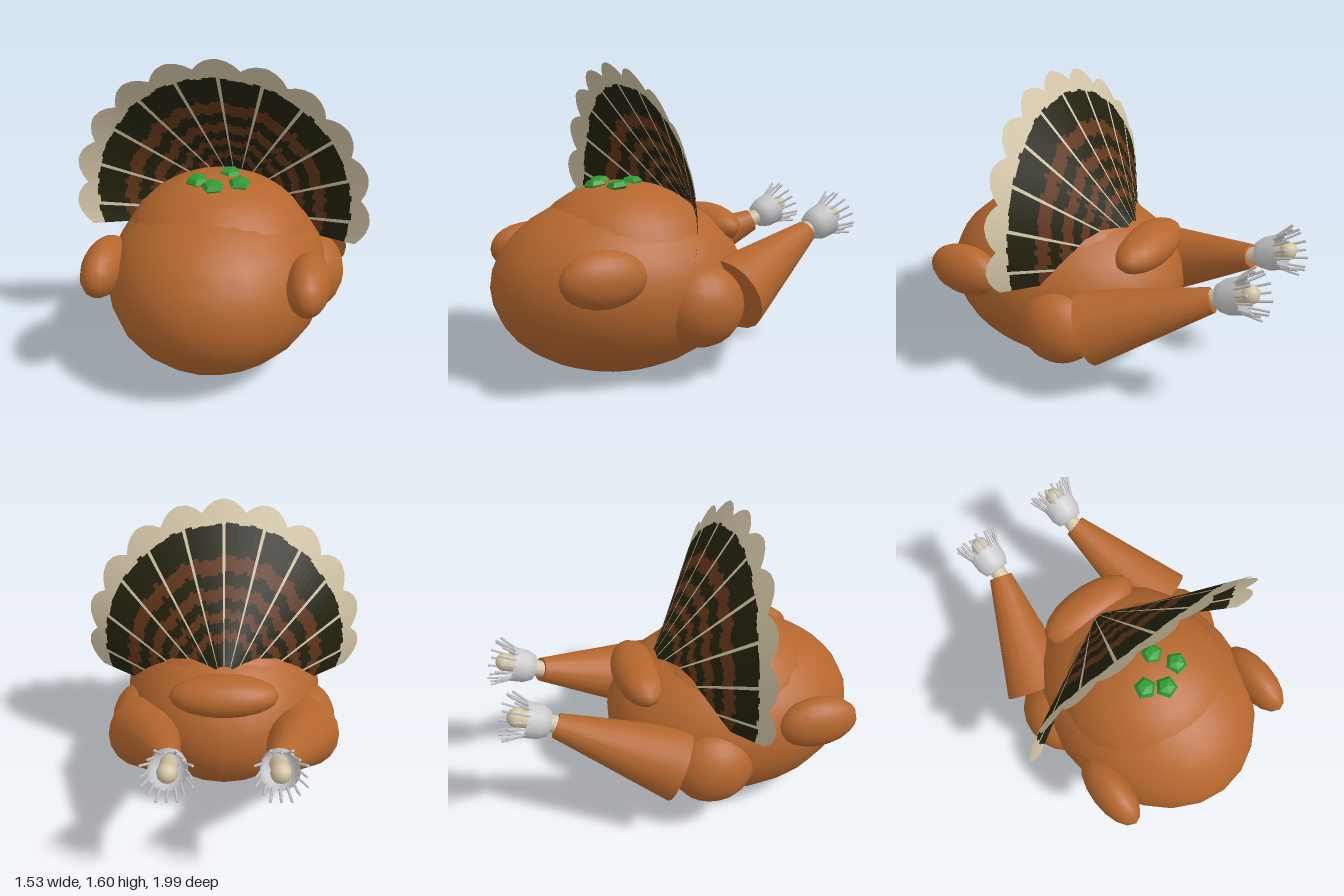
import * as THREE from 'three';

const mat = (name, color, side = THREE.FrontSide) => {
  const m = new THREE.MeshStandardMaterial({ color, side });
  m.name = name;
  return m;
};
const V = (x, y, z) => new THREE.Vector3(x, y, z);
const UP = V(0, 1, 0);

export function createModel() {
  const model = new THREE.Group();
  model.name = 'roastTurkey';
  const roast = mat('roastedSkin', 0xb5672e);
  const cream = mat('cream', 0xd2c5a6, THREE.DoubleSide);
  const dark = mat('darkFeather', 0x22210e, THREE.DoubleSide);
  const brown = mat('brownFeather', 0x613519, THREE.DoubleSide);
  const paper = mat('paperFrill', 0xcacacc, THREE.DoubleSide);
  const green = mat('herbGreen', 0x2d9a32);
  green.flatShading = true;

  const add = (name, geometry, material, parent = model) => {
    const mesh = new THREE.Mesh(geometry, material);
    mesh.name = name;
    parent.add(mesh);
    return mesh;
  };
  const ellipsoid = (name, center, radii, parent = model, w = 24, h = 16) => {
    const mesh = add(name, new THREE.SphereGeometry(1, w, h), roast, parent);
    mesh.position.set(...center);
    mesh.scale.set(...radii);
    return mesh;
  };
  // Cylinder or cone running from point a to point b
  const rod = (name, a, b, ra, rb, sides, material, parent, open = false) => {
    const mesh = add(name, new THREE.CylinderGeometry(rb, ra, a.distanceTo(b), sides, 1, open), material, parent);
    mesh.position.copy(a).lerp(b, 0.5);
    mesh.quaternion.setFromUnitVectors(UP, b.clone().sub(a).normalize());
    return mesh;
  };

  // Body
  ellipsoid('body', [0, 0.47, 0.31], [0.56, 0.47, 0.69]);
  ellipsoid('breast', [0, 0.6, 0.3], [0.49, 0.4, 0.5]);
  ellipsoid('tailStump', [0, 0.74, -0.21], [0.29, 0.11, 0.135], model, 18, 12);

  // Wings, legs and paper frills on both sides
  for (const s of [1, -1]) {
    const side = s > 0 ? 'left' : 'right';
    const wing = ellipsoid(side + 'Wing', [s * 0.505, 0.6, 0.637], [0.105, 0.138, 0.222], model, 16, 12);
    wing.rotation.z = s * 0.08;

    const leg = new THREE.Group();
    leg.name = side + 'Leg';
    model.add(leg);
    ellipsoid('thigh', [s * 0.455, 0.4, 0.08], [0.18, 0.21, 0.225], leg, 18, 12);
    rod('drumstick', V(s * 0.44, 0.43, -0.1), V(s * 0.265, 0.68, -0.7), 0.2, 0.065, 18, roast, leg);
    rod('bone', V(s * 0.262, 0.67, -0.66), V(s * 0.26, 0.768, -0.9), 0.045, 0.045, 12, cream, leg);
    const knob = add('boneEnd', new THREE.SphereGeometry(0.05, 12, 8), cream, leg);
    knob.position.set(s * 0.26, 0.765, -0.89);

    const frill = new THREE.Group();
    frill.name = 'frill';
    frill.position.set(s * 0.26, 0.7, -0.735);
    frill.quaternion.setFromUnitVectors(UP, V(0, 0.37, -0.93).normalize());
    leg.add(frill);
    const cup = [[0.045, 0], [0.07, 0.005], [0.09, 0.05], [0.095, 0.135]];
    add('frillCup', new THREE.LatheGeometry(cup.map(p => new THREE.Vector2(...p)), 16), paper, frill);
    for (let i = 0; i < 16; i++) {
      const a = (i / 16) * Math.PI * 2, c = Math.cos(a), n = Math.sin(a);
      const r = i % 2 ? 0.13 : 0.115, y = i % 2 ? 0.215 : 0.23;
      rod('frillStrand', V(c * 0.088, 0.12, n * 0.088), V(c * r, y, n * r), 0.007, 0.007, 4, paper, frill);
    }
  }

  // Herb leaves on top
  for (const [x, y, z] of [[-0.09, 0.99, 0.39], [0, 0.985, 0.45], [0.12, 0.985, 0.38], [0.05, 0.995, 0.27]]) {
    const leaf = add('herbLeaf', new THREE.SphereGeometry(1, 5, 4), green);
    leaf.position.set(x, y, z);
    leaf.scale.set(0.06, 0.03, 0.06);
    leaf.rotation.set(0.15, x * 9, 0);
  }

  // Tail fan: rays between a small base arc and a large tip arc
  const fanPoint = (deg, v) => {
    const t = THREE.MathUtils.degToRad(deg), sn = Math.sin(t), cs = Math.cos(t);
    const base = V(0.14 * sn, 0.66 + 0.24 * cs, -0.08);
    const tip = V(0.765 * sn, 0.85 + 0.755 * cs, 0.39 - 0.1 * sn * sn);
    return base.lerp(tip, v);
  };
  const bandEnds = [-0.06, 0.1, 0.16, 0.23, 0.29, 0.36, 0.44, 0.53, 0.63, 0.84];
  const columns = [-1, -0.72, -0.42, -0.085, 0.085, 0.42, 0.72, 1];
  const layers = [[], [], []]; // cream, dark, brown
  const jitter = n => {
    const q = Math.sin(n * 12.9898) * 43758.5453;
    return (q - Math.floor(q) - 0.5) * 0.045;
  };
  for (let f = -5; f <= 5; f++) {
    for (let c = 0; c < 7; c++) {
      const u0 = columns[c], u1 = columns[c + 1];
      const d0 = f * 19 + u0 * 9.5, d1 = f * 19 + u1 * 9.5;
      const strip = (layer, a, b, ta = b, tb = b) => {
        const p = fanPoint(d0, a), q = fanPoint(d1, a), r = fanPoint(d1, tb), t = fanPoint(d0, ta);
        // Wound to face forward
        for (const k of [p, t, r, p, r, q]) layers[layer].push(k.x, k.y, k.z);
      };
      const tip0 = 1 - 0.08 * u0 * u0, tip1 = 1 - 0.08 * u1 * u1;
      if (c === 3) {
        strip(0, -0.06, 1, tip0, tip1); // shaft
        continue;
      }
      const shift = jitter((f + 6) * 7 + c + 1);
      const ends = bandEnds.map((v, i) => (i ? v + shift * (i === 9 ? 0.5 : 1) : v));
      for (let i = 0; i < 9; i++) strip(i % 2 ? 2 : 1, ends[i], ends[i + 1]);
      strip(0, ends[9], 1, tip0, tip1);
    }
  }
  const fan = new THREE.Group();
  fan.name = 'tailFan';
  model.add(fan);
  [['featherTipsAndShafts', cream], ['darkBands', dark], ['brownBands', brown]].forEach(([name, material], i) => {
    const g = new THREE.BufferGeometry();
    g.setAttribute('position', new THREE.Float32BufferAttribute(layers[i], 3));
    g.computeVertexNormals();
    add(name, g, material, fan);
  });
  return model;
}
